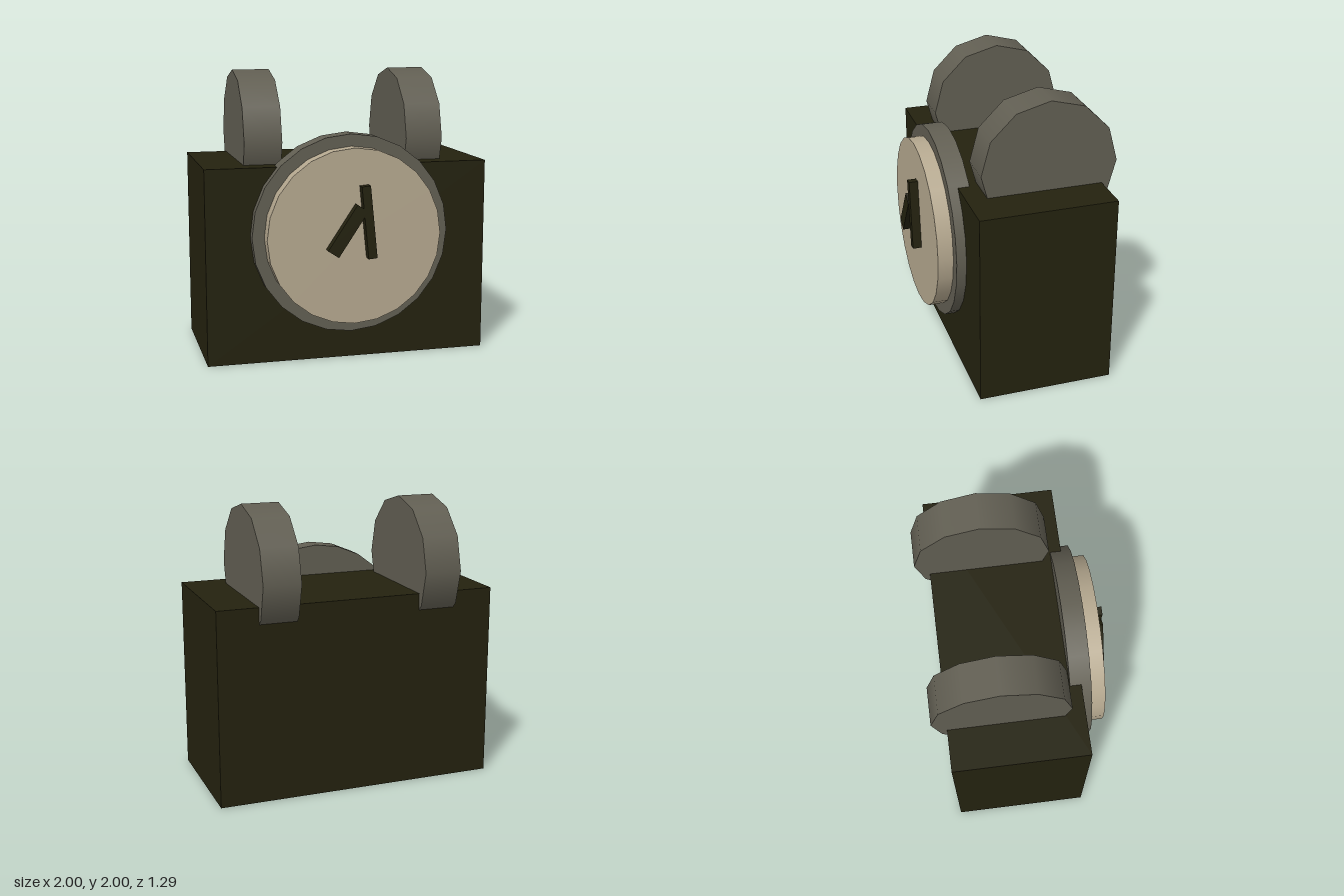
import * as THREE from 'three';

export function createModel() {
  const model = new THREE.Group();
  model.name = 'alarmClock';

  const mat = (name, color) => {
    const m = new THREE.MeshStandardMaterial({ color });
    m.name = name;
    return m;
  };
  const dark = mat('darkOlive', 0x24220f);
  const grey = mat('warmGrey', 0x625f53);
  const cream = mat('cream', 0xb6a990);

  const add = (name, geometry, material, x, y, z) => {
    const mesh = new THREE.Mesh(geometry, material);
    mesh.name = name;
    mesh.position.set(x, y, z);
    model.add(mesh);
    return mesh;
  };
  // Disc facing +z, spanning z0 to z1
  const disc = (name, radius, z0, z1, material) =>
    add(name, new THREE.CylinderGeometry(radius, radius, z1 - z0, 24).rotateX(Math.PI / 2),
      material, 0, 0.898, (z0 + z1) / 2);

  // Case
  add('case', new THREE.BoxGeometry(2, 1.37, 0.945), dark, 0, 0.685, -0.0725);

  // Dial
  disc('dialRim', 0.693, 0.32, 0.468, grey);
  disc('dialFace', 0.609, 0.4, 0.575, cream);

  // Hands
  add('minuteHand', new THREE.BoxGeometry(0.062, 0.502, 0.08), dark, 0.085, 1.003, 0.597)
    .rotation.z = 0.1;
  add('hourHand', new THREE.BoxGeometry(0.09, 0.37, 0.06), dark, -0.067, 0.952, 0.615)
    .rotation.z = -0.588;

  // Bells sunk into the top of the case
  for (const [name, side] of [['leftBell', 1], ['rightBell', -1]]) {
    add(name, new THREE.CylinderGeometry(0.473, 0.473, 0.264, 12).rotateZ(Math.PI / 2),
      grey, side * 0.577, 1.527, -0.172);
  }

  return model;
}
